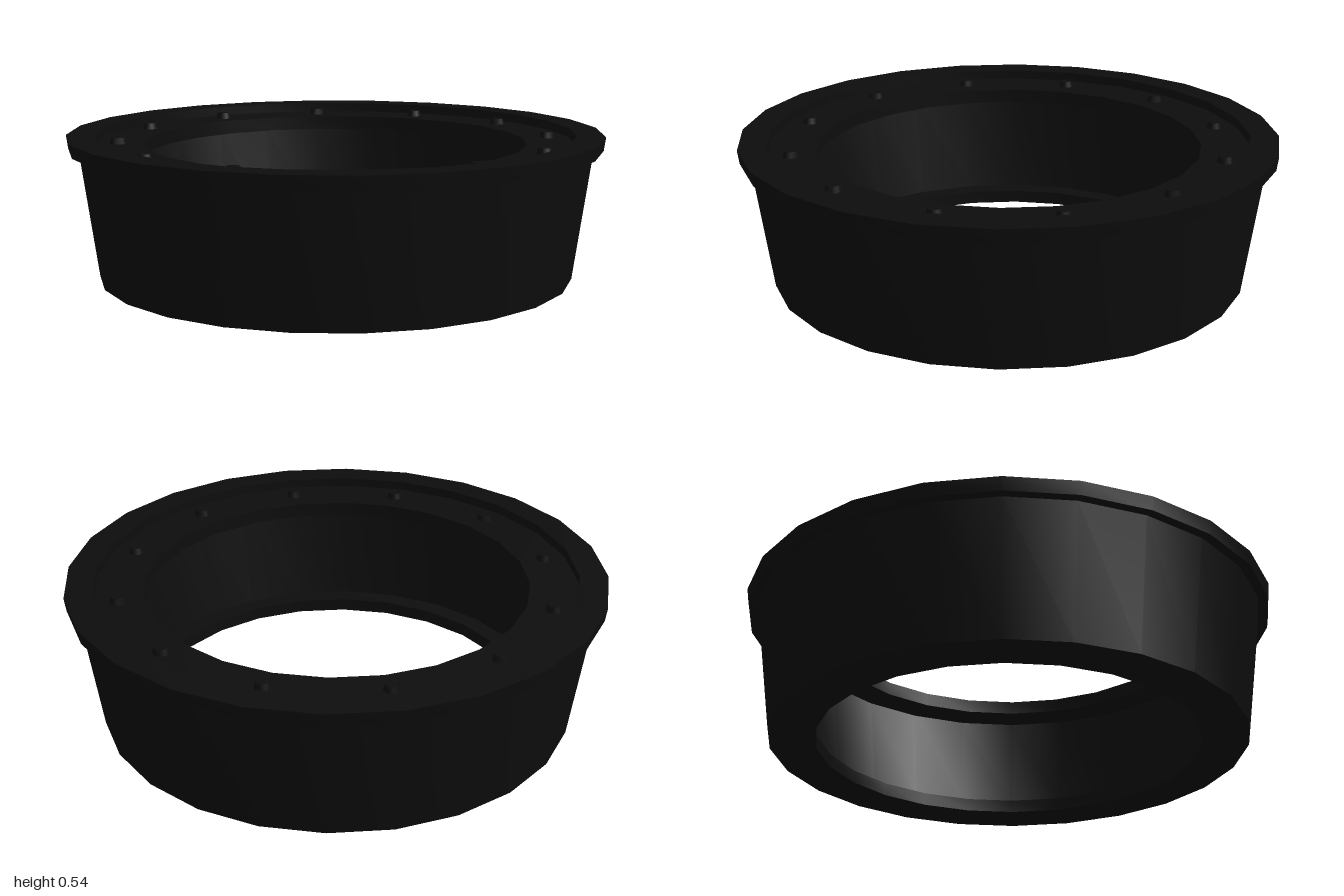
import * as THREE from 'three';
import { toCreasedNormals } from 'three/addons/utils/BufferGeometryUtils.js';

const SIDES = 24;

// Surface of revolution from a [radius, height] profile, with sharp edges kept
function ring(name, profile, material) {
  const points = profile.map(([r, y]) => new THREE.Vector2(r, y));
  const geometry = toCreasedNormals(new THREE.LatheGeometry(points, SIDES), 0.5);
  const mesh = new THREE.Mesh(geometry, material);
  mesh.name = name;
  return mesh;
}

export function createModel() {
  const black = new THREE.MeshStandardMaterial({ color: 0x0d0d0d });
  black.name = 'black';

  const model = new THREE.Group();
  model.name = 'flangedRing';

  // Tapered outer wall
  model.add(ring('outerWall', [[0.89, 0], [0.957, 0.485]], black));

  // Overhanging flange, stepping down to the recessed face
  model.add(ring('flange', [
    [0.957, 0.485], [0.993, 0.485], [1, 0.535], [0.895, 0.535], [0.895, 0.5],
  ], black));

  // Recessed face and upper inner lip
  model.add(ring('upperLip', [
    [0.895, 0.5], [0.715, 0.5], [0.715, 0.447], [0.84, 0.447],
  ], black));

  // Hollow inside wall between the lips
  model.add(ring('innerWall', [[0.84, 0.447], [0.79, 0.05]], black));

  // Lower inner lip and underside
  model.add(ring('lowerLip', [
    [0.79, 0.05], [0.715, 0.05], [0.715, 0], [0.89, 0],
  ], black));

  // Twelve bolts on the recessed face
  const boltGeometry = new THREE.CylinderGeometry(0.024, 0.03, 0.024, 8);
  const bolts = new THREE.Group();
  bolts.name = 'bolts';
  for (let i = 0; i < 12; i++) {
    const angle = (i * Math.PI) / 6;
    const bolt = new THREE.Mesh(boltGeometry, black);
    bolt.name = 'bolt';
    bolt.position.set(0.81 * Math.sin(angle), 0.511, 0.81 * Math.cos(angle));
    bolt.rotation.y = angle;
    bolts.add(bolt);
  }
  model.add(bolts);

  return model;
}
